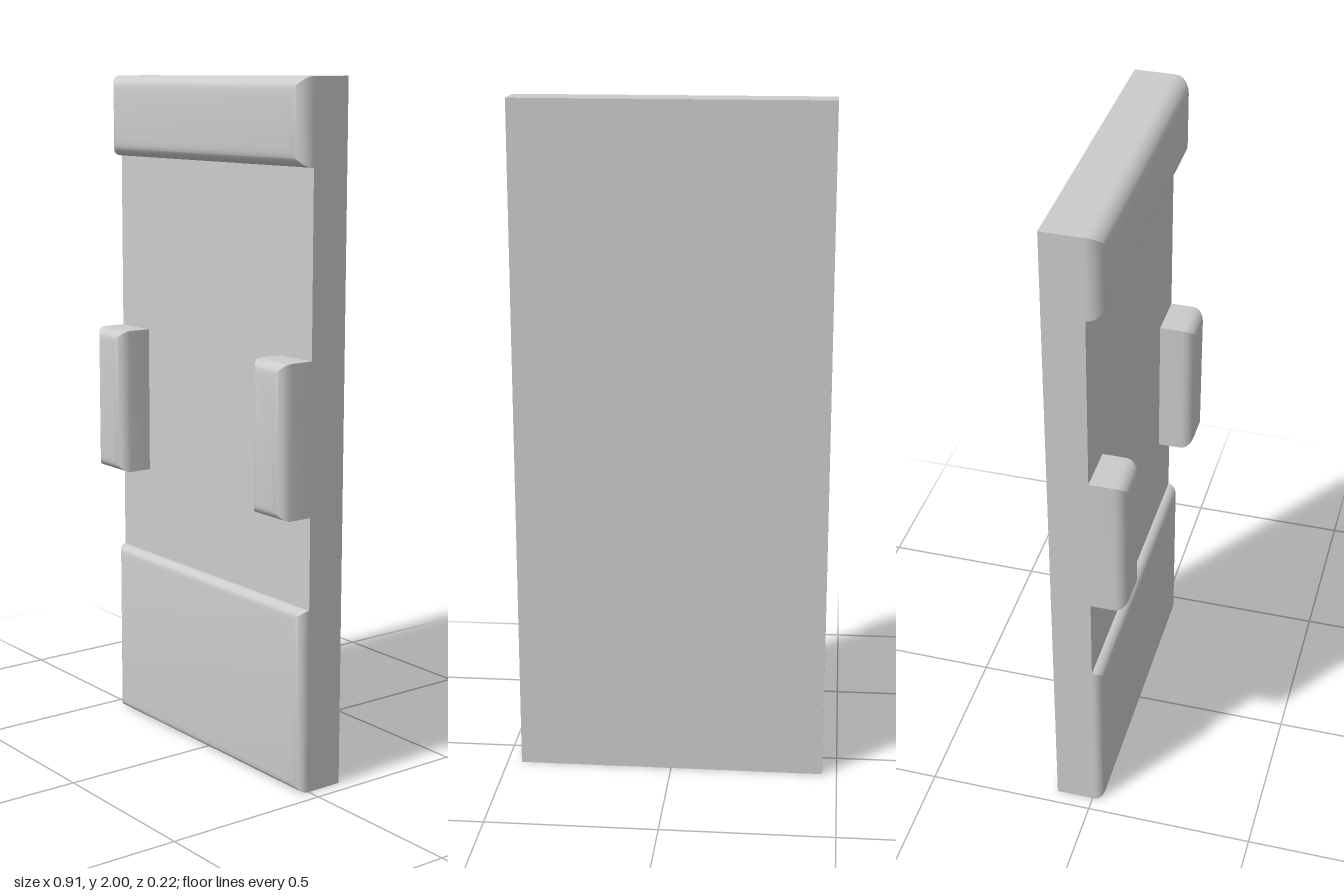
import * as THREE from 'three';
import { toCreasedNormals } from 'three/addons/utils/BufferGeometryUtils.js';

const HALF_W = 0.457, FRONT = 0.005, BACK = -0.112, HEIGHT = 2;
const material = new THREE.MeshStandardMaterial({ color: 0xcccccc });

// Raised pad: rectangular rings stepped inwards along a quarter round, closed by a flat face
function padGeometry(x0, x1, y0, y1, z1, radius, steps = 6) {
  const pos = [], index = [];
  const ring = (inset, z) => pos.push(
    x0 + inset, y0 + inset, z, x1 - inset, y0 + inset, z,
    x1 - inset, y1 - inset, z, x0 + inset, y1 - inset, z);
  ring(0, FRONT);
  for (let i = 0; i <= steps; i++) {
    const a = (i / steps) * Math.PI / 2;
    ring(radius * (1 - Math.cos(a)), z1 - radius * (1 - Math.sin(a)));
  }
  const rings = steps + 2;
  for (let r = 0; r < rings - 1; r++) {
    for (let k = 0; k < 4; k++) {
      const a = r * 4 + k, b = r * 4 + (k + 1) % 4;
      index.push(a, b, b + 4, a, b + 4, a + 4);
    }
  }
  const f = (rings - 1) * 4;
  index.push(f, f + 1, f + 2, f, f + 2, f + 3);
  const geometry = new THREE.BufferGeometry();
  geometry.setAttribute('position', new THREE.Float32BufferAttribute(pos, 3));
  geometry.setIndex(index);
  return toCreasedNormals(geometry, 0.6);
}

export function createModel() {
  const group = new THREE.Group();
  group.name = 'paddedPanel';
  const add = (name, geometry) => {
    const mesh = new THREE.Mesh(geometry, material);
    mesh.name = name;
    group.add(mesh);
    return mesh;
  };

  // Flat backing slab
  add('backPanel', new THREE.BoxGeometry(HALF_W * 2, HEIGHT, FRONT - BACK))
    .position.set(0, HEIGHT / 2, (FRONT + BACK) / 2);

  // Full-width pads at the top and bottom
  add('topPad', padGeometry(-HALF_W, HALF_W, 1.76, HEIGHT, 0.055, 0.048));
  add('bottomPad', padGeometry(-HALF_W, HALF_W, 0, 0.537, 0.036, 0.03));

  // Side blocks at mid height
  add('leftBlock', padGeometry(0.318, HALF_W, 0.803, 1.24, 0.112, 0.038));
  add('rightBlock', padGeometry(-HALF_W, -0.318, 0.803, 1.24, 0.112, 0.038));

  return group;
}
